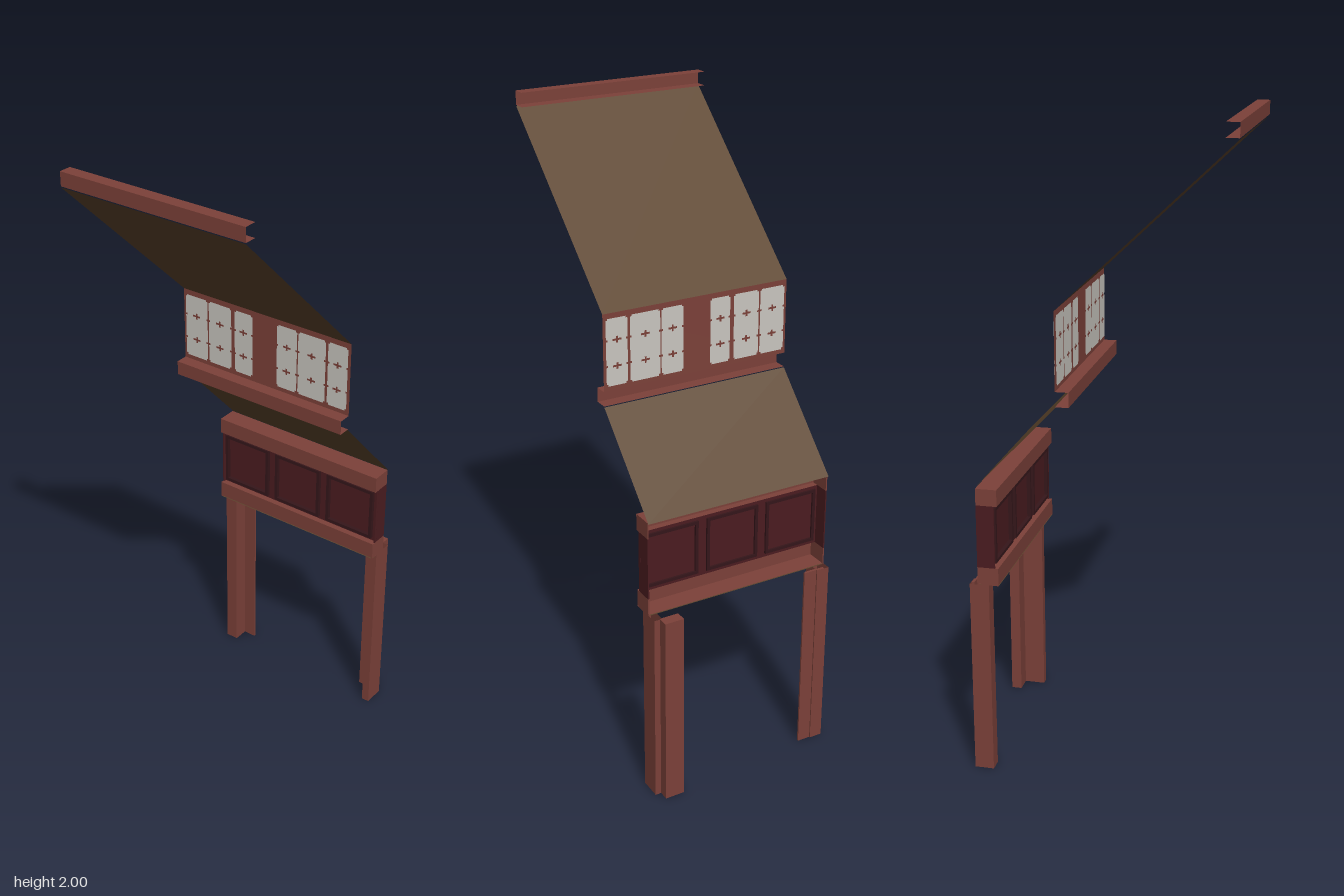
import * as THREE from 'three';

const mat = (name, color) => {
  const m = new THREE.MeshStandardMaterial({ color, side: THREE.DoubleSide });
  m.name = name;
  return m;
};
const HALF = 0.307;           // half width of the facade
const skew = z => 0.02 * z;   // the rows drift slightly sideways with depth

export function createModel() {
  const root = new THREE.Group();
  root.name = 'gateBuildingSection';
  const red = mat('red wood', 0x7c4139);
  const dark = mat('dark red wood', 0x4b1c20);
  const trim = mat('dark trim', 0x35161a);
  const brown = mat('brown roof', 0x5c442c);
  const pale = mat('pale lattice', 0xc9c6c0);

  const add = (name, geometry, material) => {
    const m = new THREE.Mesh(geometry, material);
    m.name = name;
    root.add(m);
    return m;
  };
  // box from its lowest and highest corners
  const box = (name, material, x0, x1, y0, y1, z0, z1) =>
    add(name, new THREE.BoxGeometry(x1 - x0, y1 - y0, z1 - z0), material)
      .position.set((x0 + x1) / 2, (y0 + y1) / 2, (z0 + z1) / 2);
  // upright square tube without end caps
  const tube = (name, material, x0, x1, y0, y1, z0, z1) => {
    const g = new THREE.CylinderGeometry(Math.SQRT1_2, Math.SQRT1_2, 1, 4, 1, true)
      .rotateY(Math.PI / 4).scale(x1 - x0, y1 - y0, z1 - z0).toNonIndexed();
    g.computeVertexNormals();
    add(name, g, material).position.set((x0 + x1) / 2, (y0 + y1) / 2, (z0 + z1) / 2);
  };
  // upright flat plate facing front and back
  const plate = (name, material, x0, x1, y0, y1, z) =>
    add(name, new THREE.PlaneGeometry(x1 - x0, y1 - y0), material)
      .position.set((x0 + x1) / 2, (y0 + y1) / 2, z);
  // open sheet: a [z, y] profile drawn across the full width
  const sheet = (name, material, profile) => {
    const p = [];
    for (let i = 0; i + 1 < profile.length; i++) {
      const [za, ya] = profile[i], [zb, yb] = profile[i + 1];
      const a = [skew(za) - HALF, ya, za], b = [skew(za) + HALF, ya, za];
      const c = [skew(zb) + HALF, yb, zb], d = [skew(zb) - HALF, yb, zb];
      p.push(...a, ...b, ...c, ...a, ...c, ...d);
    }
    const g = new THREE.BufferGeometry();
    g.setAttribute('position', new THREE.Float32BufferAttribute(p, 3));
    g.computeVertexNormals();
    add(name, g, material);
  };

  // two roof slopes, rising towards the front
  sheet('lowerRoof', brown, [[-0.1, 1.187], [-0.35, 0.922]]);
  sheet('upperRoof', brown, [[0.409, 1.955], [-0.1, 1.47]]);

  // ridge and sill beams, channels open to the back
  sheet('ridgeBeam', red, [[0.37, 1.958], [0.409, 1.958], [0.409, 2], [0.37, 2]]);
  sheet('windowSill', red, [[-0.1, 1.19], [-0.06, 1.19], [-0.06, 1.235], [-0.1, 1.235]]);

  // lattice storey, seen alike from both sides
  sheet('windowWall', red, [[-0.1, 1.235], [-0.1, 1.47]]);
  const columns = [[-0.3, -0.216], [-0.211, -0.125], [-0.112, -0.045],
    [0.045, 0.118], [0.122, 0.22], [0.228, 0.297]];
  for (const z of [-0.103, -0.097]) {
    const outer = z < -0.1 ? z - 0.001 : z + 0.001;
    for (const [a, b] of columns) {
      plate('latticePane', pale, a + 0.005, b - 0.005, 1.25, 1.455, z);
      for (const [y0, y1] of [[1.256, 1.308], [1.314, 1.386], [1.392, 1.45]])
        plate('latticePane', pale, a, b, y0, y1, z);
      const mid = (a + b) / 2;
      for (const y of [1.31, 1.39]) {
        plate('latticeCross', red, mid - 0.014, mid + 0.014, y - 0.003, y + 0.003, outer);
        plate('latticeCross', red, mid - 0.003, mid + 0.003, y - 0.01, y + 0.01, outer);
      }
    }
  }

  // lintel: two projecting bands around a recessed wall, open at the back
  sheet('lowerBand', red, [[-0.345, 0.623], [-0.28, 0.623], [-0.28, 0.676], [-0.3, 0.676]]);
  sheet('soffit', brown, [[-0.345, 0.62], [-0.28, 0.62]]);
  sheet('upperBand', red, [[-0.3, 0.873], [-0.28, 0.873], [-0.28, 0.925], [-0.345, 0.925]]);
  sheet('lintelWall', dark, [[-0.3, 0.676], [-0.3, 0.873]]);
  for (const s of [-1, 1]) {
    const x = s * (HALF - 0.002) + skew(-0.31);
    box('bandEnd', red, x - 0.002, x + 0.002, 0.62, 0.676, -0.345, -0.28);
    box('bandEnd', red, x - 0.002, x + 0.002, 0.873, 0.925, -0.345, -0.28);
    box('wallEnd', dark, x - 0.002, x + 0.002, 0.676, 0.873, -0.345, -0.29);
  }

  // three framed panels, with frames on both faces
  for (const c of [-0.212, -0.007, 0.198]) {
    const w = 0.088, y0 = 0.688, y1 = 0.863, t = 0.01;
    for (const [z0, z1] of [[-0.3, -0.288], [-0.306, -0.3]]) {
      box('panelFrame', trim, c - w, c - w + t, y0, y1, z0, z1);
      box('panelFrame', trim, c + w - t, c + w, y0, y1, z0, z1);
      box('panelFrame', trim, c - w + t, c + w - t, y0, y0 + t, z0, z1);
      box('panelFrame', trim, c - w + t, c + w - t, y1 - t, y1, z0, z1);
    }
  }

  // L-shaped posts, hollow in front
  tube('leftPost', red, 0.273, 0.299, 0, 0.62, -0.378, -0.31);
  box('leftPostBack', red, 0.218, 0.28, 0, 0.62, -0.409, -0.376);
  box('leftPostCapital', red, 0.218, 0.273, 0.57, 0.62, -0.376, -0.374);
  tube('rightPost', red, -0.315, -0.273, 0, 0.62, -0.37, -0.31);
  box('rightPostInner', red, -0.3, -0.274, 0, 0.62, -0.369, -0.36);
  box('rightPostBack', red, -0.274, -0.23, 0, 0.62, -0.366, -0.36);
  box('rightPostCapital', red, -0.273, -0.236, 0.57, 0.62, -0.36, -0.358);

  return root;
}
